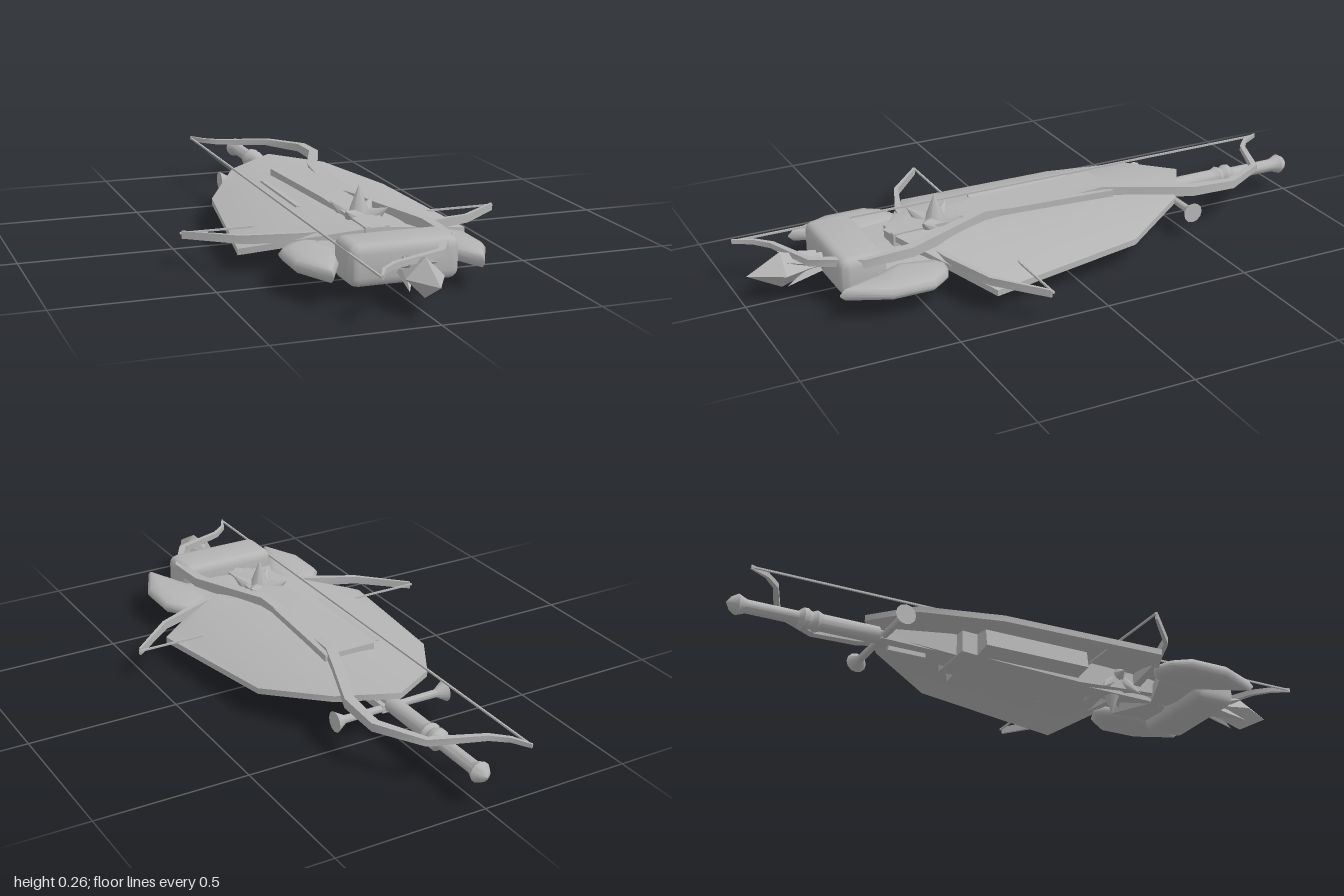
import * as THREE from 'three';
import { toCreasedNormals } from 'three/addons/utils/BufferGeometryUtils.js';
import { RoundedBoxGeometry } from 'three/addons/geometries/RoundedBoxGeometry.js';

export function createModel() {
  const model = new THREE.Group();
  model.name = 'weaponPile';
  const steel = new THREE.MeshStandardMaterial({ color: 0xb4b4b4 });
  steel.name = 'grey steel';

  function add(name, geometry, x = 0, y = 0, z = 0, crease = 0.6, parent = model) {
    const mesh = new THREE.Mesh(toCreasedNormals(geometry, crease), steel);
    mesh.name = name;
    mesh.position.set(x, y, z);
    parent.add(mesh);
    return mesh;
  }
  const box = (name, w, h, d, x, y, z) => add(name, new THREE.BoxGeometry(w, h, d), x, y, z);

  // Round part along z from [radius, z] pairs
  function turned(name, profile, y, sides = 12, crease = 0.6) {
    const g = new THREE.LatheGeometry(profile.map(([r, z]) => new THREE.Vector2(r, z)), sides);
    return add(name, g.rotateX(Math.PI / 2), 0, y, 0, crease);
  }

  // Rectangular bar through stations [x, y, z, width, height]
  function bar(name, stations, crease = 0.6) {
    const n = stations.length - 1;
    const g = new THREE.BoxGeometry(1, 1, 1, 1, 1, n);
    const p = g.attributes.position;
    for (let k = 0; k < p.count; k++) {
      const i = Math.round((p.getZ(k) + 0.5) * n);
      const [x, y, z, w, h] = stations[i];
      const a = stations[Math.max(0, i - 1)], b = stations[Math.min(n, i + 1)];
      const t = new THREE.Vector2(b[0] - a[0], b[2] - a[2]).normalize();
      const s = p.getX(k) * w;
      p.setXYZ(k, x + t.y * s, y + p.getY(k) * h, z - t.x * s);
    }
    return add(name, g, 0, 0, 0, crease);
  }

  // Shield: arched slab whose width follows the outline
  const outline = [[0.002, -0.545], [0.17, -0.435], [0.31, -0.205], [0.38, 0.32], [0.002, 0.535]];
  const shield = new THREE.BoxGeometry(2, 1, 1, 16, 1, 4);
  const sp = shield.attributes.position;
  for (let k = 0; k < sp.count; k++) {
    const [w, z] = outline[Math.round((sp.getZ(k) + 0.5) * 4)];
    const x = sp.getX(k) * w;
    sp.setXYZ(k, x, 0.162 - 0.62 * x * x + sp.getY(k) * 0.02, z);
  }
  add('shield', shield);

  // Crossbow: stock, side plates, limbs and string
  bar('crossbowStock', [
    [0, 0.132, -0.245, 0.18, 0.115], [0, 0.13, -0.1, 0.16, 0.118],
    [0, 0.13, 0.2, 0.125, 0.12], [0, 0.135, 0.52, 0.08, 0.07],
  ]);
  for (const s of [-1, 1]) {
    const plate = box('sidePlate', 0.07, 0.085, 0.37, s * 0.115, 0.118, -0.005);
    plate.rotation.z = -0.15;
  }
  bar('crossbowLimbs', [
    [-0.525, 0.113, 0.21, 0.008, 0.024], [-0.375, 0.118, 0.34, 0.014, 0.026],
    [-0.2, 0.125, 0.405, 0.022, 0.032], [0, 0.13, 0.44, 0.03, 0.04],
    [0.2, 0.125, 0.405, 0.022, 0.032], [0.375, 0.118, 0.34, 0.014, 0.026],
    [0.525, 0.113, 0.21, 0.008, 0.024],
  ]);
  box('crossbowString', 1.06, 0.006, 0.006, 0, 0.117, 0.206);
  box('trigger', 0.015, 0.015, 0.13, 0, 0.073, -0.4);
  bar('stockTail', [[0, 0.115, -0.46, 0.06, 0.03], [0, 0.115, -0.22, 0.1, 0.08]]);

  // Bow: one half mirrored end to end, with a low grip
  const half = [
    [-0.17, 0.157, 0.98, 0.006, 0.014], [-0.14, 0.157, 0.92, 0.012, 0.016],
    [-0.09, 0.157, 0.875, 0.016, 0.018], [0.08, 0.158, 0.81, 0.022, 0.022],
    [0.165, 0.161, 0.66, 0.028, 0.028], [0.16, 0.165, 0.51, 0.032, 0.032],
    [0.085, 0.172, 0.31, 0.034, 0.04], [0.055, 0.176, 0.22, 0.034, 0.046],
    [0.045, 0.17, 0.11, 0.03, 0.036],
  ];
  const rear = half.map(([x, y, z, w, h]) => [x, y, -z, w, h]);
  bar('bow', [...rear, ...half.slice().reverse()], 0.9);
  box('bowString', 0.006, 0.006, 1.96, -0.17, 0.157, 0);

  // Sword: pommel, grip, collar, blade and guard with flared ends
  turned('swordHilt', [
    [0, -1], [0.022, -0.985], [0.034, -0.965], [0.022, -0.935], [0.022, -0.77],
    [0.036, -0.755], [0.036, -0.74], [0.028, -0.725], [0.036, -0.71], [0.028, -0.69],
    [0.028, -0.5], [0, -0.49],
  ], 0.112);
  bar('swordBlade', [[0, 0.1, -0.5, 0.07, 0.025], [0, 0.085, 0.4, 0.06, 0.025], [0, 0.09, 0.55, 0.005, 0.01]]);
  const guard = turned('swordGuard', [
    [0, -0.2], [0.034, -0.2], [0.013, -0.165], [0.011, 0], [0.013, 0.165], [0.034, 0.2], [0, 0.2],
  ], 0.1);
  guard.rotation.y = Math.PI / 2;
  guard.position.z = -0.49;

  // Long shaft under the shield
  turned('shaft', [[0, -0.55], [0.02, -0.55], [0.02, 0.78], [0, 0.78]], 0.11);

  // Hammer head
  add('hammerHead', new RoundedBoxGeometry(0.345, 0.13, 0.155, 2, 0.03), 0, 0.117, 0.667, 0.9);

  // Double axe: two swept blades and a bridge
  for (const s of [-1, 1]) {
    const pts = [[0.16, 0.43], [0.2, 0.405], [0.26, 0.43], [0.305, 0.49], [0.305, 0.63], [0.235, 0.775], [0.17, 0.64], [0.13, 0.55]];
    const shape = new THREE.Shape(pts.map(([x, z]) => new THREE.Vector2(s * x, -z)));
    const g = new THREE.ExtrudeGeometry(shape, {
      depth: 0.006, bevelThickness: 0.022, bevelSize: 0.04, bevelOffset: -0.04, bevelSegments: 2,
    });
    add('axeBlade', g.rotateX(-Math.PI / 2), 0, 0.1, 0, 1);
    bar('axeBridge', [[0, 0.105, 0.545, 0.06, 0.05], [s * 0.2, 0.105, 0.535, 0.2, 0.03]]);
  }

  // Spear point with four back-swept fins
  turned('spearPoint', [[0, 0.74], [0.03, 0.74], [0.035, 0.8], [0.06, 0.88], [0, 0.99]], 0.112, 4, 0.1);
  for (let i = 0; i < 4; i++) {
    const a = Math.PI / 4 + i * Math.PI / 2;
    const fin = add('spearFin', new THREE.ConeGeometry(0.025, 0.12, 4),
      0.04 * Math.cos(a), 0.112 + 0.035 * Math.sin(a), 0.82, 0.1);
    fin.quaternion.setFromUnitVectors(new THREE.Vector3(0, 1, 0),
      new THREE.Vector3(0.4 * Math.cos(a), 0.4 * Math.sin(a), 1).normalize());
  }

  // Spiked mace ball
  const mace = new THREE.Group();
  mace.name = 'mace';
  mace.position.set(0, 0.137, 0.36);
  model.add(mace);
  add('maceBall', new THREE.SphereGeometry(0.055, 12, 8), 0, 0, 0, 0.8, mace);
  const up = new THREE.Vector3(0, 1, 0);
  function spike(x, y, z) {
    const tip = new THREE.Vector3(x, y, z), length = tip.length();
    const g = new THREE.ConeGeometry(0.042, length - 0.02, 8).translate(0, (length + 0.02) / 2, 0);
    add('maceSpike', g, 0, 0, 0, 0.9, mace).quaternion.setFromUnitVectors(up, tip.normalize());
  }
  for (const s of [-1, 1]) {
    spike(0, s * 0.128, 0);
    spike(s * 0.085, 0, 0);
    spike(0, 0, s * 0.085);
    for (const a of [-1, 1]) for (const b of [-1, 1]) spike(a * 0.07, s * 0.065, b * 0.07);
  }
  return model;
}
